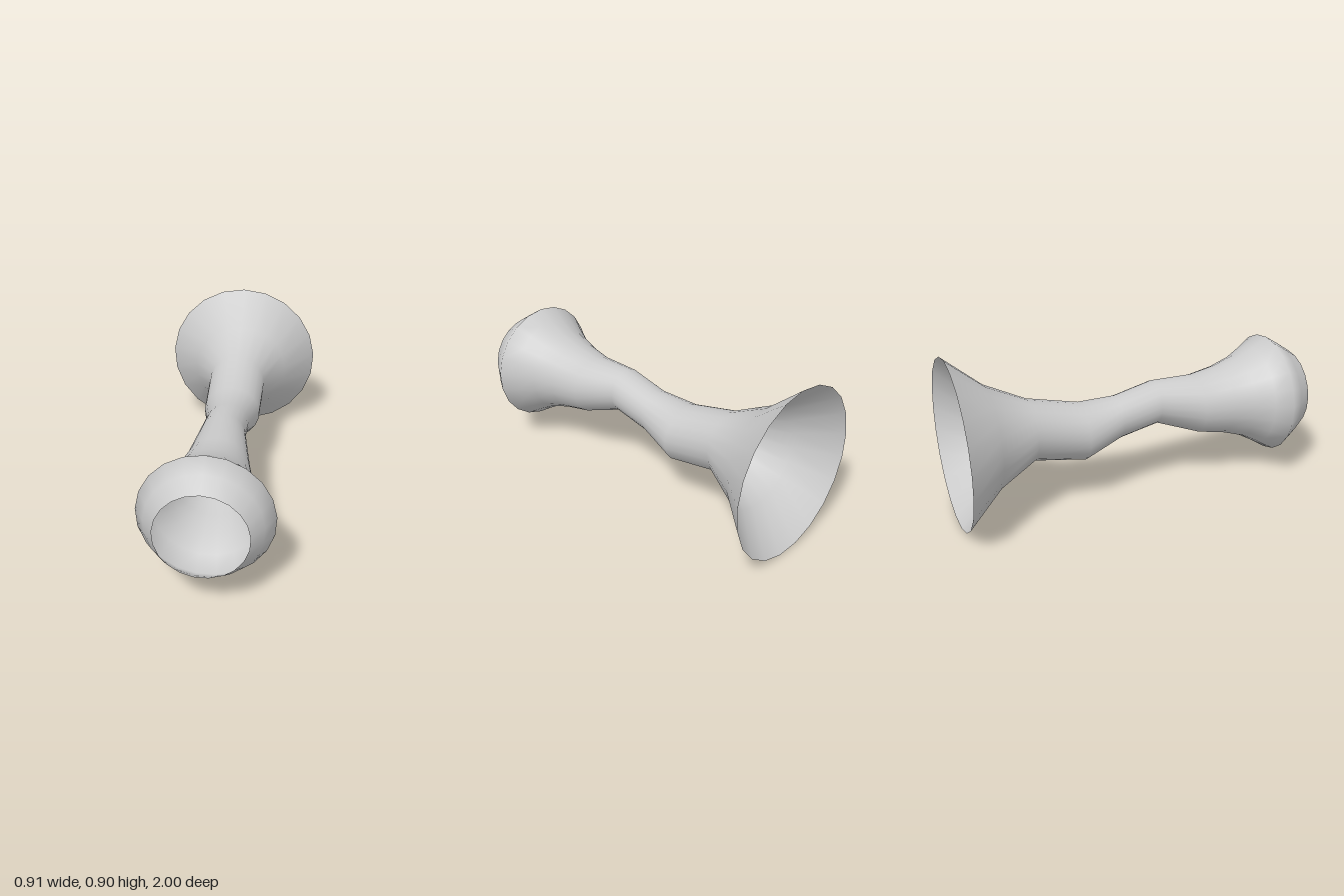
import * as THREE from 'three';

const SIDES = 21;

// Cross-sections from front to back: z, top y, bottom y, half width
const SECTIONS = [
  [1.0, 0.68, 0.227, 0.226],
  [0.915, 0.738, 0.165, 0.285],
  [0.835, 0.788, 0.118, 0.335],
  [0.75, 0.735, 0.172, 0.283],
  [0.66, 0.687, 0.222, 0.235],
  [0.54, 0.648, 0.26, 0.198],
  [0.38, 0.619, 0.291, 0.166],
  [0.13, 0.624, 0.387, 0.119],
  [-0.09, 0.57, 0.338, 0.118],
  [-0.3, 0.563, 0.25, 0.16],
  [-0.585, 0.63, 0.3, 0.165],
  [-0.8, 0.735, 0.182, 0.28],
  [-1.0, 0.905, 0, 0.454],
];

// Triangles joining the rings from one section to another
function stripIndex(from, to) {
  const index = [];
  for (let i = from; i < to; i++) {
    for (let j = 0; j < SIDES; j++) {
      const k = (j + 1) % SIDES;
      const a = i * SIDES + j, b = i * SIDES + k;
      const c = a + SIDES, d = b + SIDES;
      index.push(a, b, c, b, d, c);
    }
  }
  return index;
}

export function createModel() {
  const group = new THREE.Group();
  group.name = 'horn';
  const material = new THREE.MeshStandardMaterial({ color: 0xcccccc, side: THREE.DoubleSide });

  // Rings have a corner at the top and a flat edge at the bottom
  const positions = [];
  for (const [z, top, bottom, halfWidth] of SECTIONS) {
    const radius = (top - bottom) / (1 + Math.cos(Math.PI / SIDES));
    for (let j = 0; j < SIDES; j++) {
      const angle = (j / SIDES) * Math.PI * 2;
      positions.push(halfWidth * Math.sin(angle), top - radius + radius * Math.cos(angle), z);
    }
  }

  // Shared smooth normals over the whole length, so the parts join seamlessly
  const whole = new THREE.BufferGeometry();
  whole.setAttribute('position', new THREE.Float32BufferAttribute(positions, 3));
  whole.setIndex(stripIndex(0, SECTIONS.length - 1));
  whole.computeVertexNormals();

  // Bulbous front mouth, bent neck and flared rear bell
  for (const [name, from, to] of [['mouth', 0, 4], ['neck', 4, 10], ['bell', 10, 12]]) {
    const geometry = whole.clone();
    geometry.setIndex(stripIndex(from, to));
    const mesh = new THREE.Mesh(geometry, material);
    mesh.name = name;
    group.add(mesh);
  }
  return group;
}
